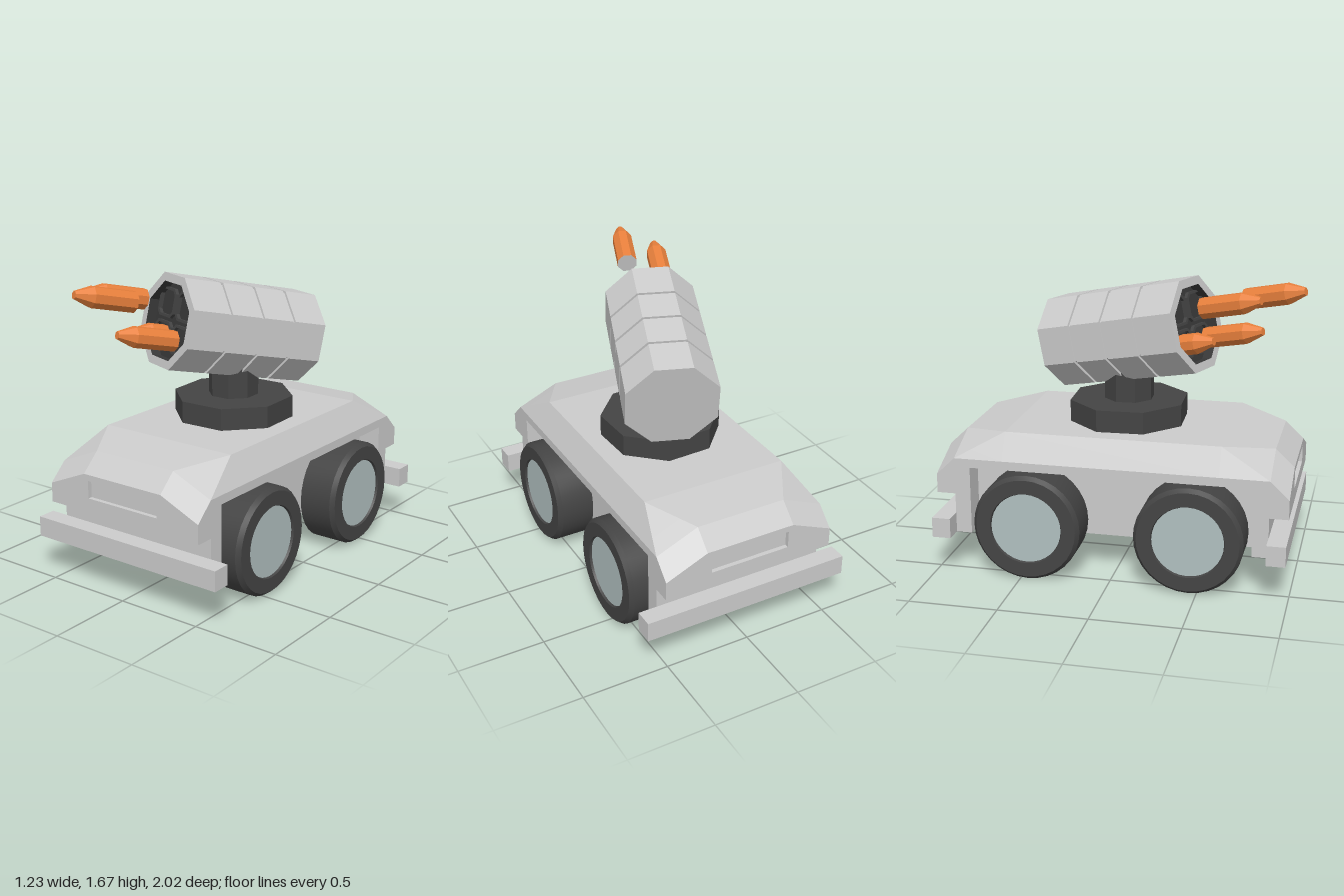
import * as THREE from 'three';
import { toCreasedNormals } from 'three/addons/utils/BufferGeometryUtils.js';

const mat = (color = 0xcccccc, opts = {}) => new THREE.MeshStandardMaterial({ color, flatShading: true, ...opts });
const GREY = mat();
const DARK = mat(0x444444);
const CAVITY = mat(0x383838);
const TUBE = mat(0x85797a);
const ORANGE = mat(0xe8803c);
const HUB = mat(0xb0bfbf);
const TYRE = mat(0x444444, { flatShading: false });
const INNER = mat(0xcccccc, { side: THREE.BackSide });

const v2 = (pts) => pts.map(([x, y]) => new THREE.Vector2(x, y));

function add(parent, name, geometry, material, x = 0, y = 0, z = 0) {
  const mesh = new THREE.Mesh(geometry, material);
  mesh.name = name;
  mesh.position.set(x, y, z);
  parent.add(mesh);
  return mesh;
}

// Eight-sided lathe whose axis lies along z, with flats on top and sides
const octLathe = (pts) =>
  new THREE.LatheGeometry(v2(pts), 8, Math.PI / 8).rotateX(Math.PI / 2);

// Square with cut corners, as a list of points
function chamferSquare(cx, cy, h, c) {
  return v2([[h, -h + c], [h, h - c], [h - c, h], [-h + c, h], [-h, h - c], [-h, -h + c], [-h + c, -h], [h - c, -h]])
    .map((p) => p.add(new THREE.Vector2(cx, cy)));
}

// Hull shell lofted from cross-sections; ends are mirrored
function hullGeometry() {
  // z, bottom y, shoulder y, bevel x/y, roof half width, roof y
  const half = [
    [0.9925, 0.45, 0.56, 0.51, 0.56, 0.265, 0.665],
    [0.887, 0.45, 0.66, 0.51, 0.66, 0.265, 0.765],
    [0.887, 0.22, 0.66, 0.51, 0.66, 0.265, 0.765],
    [0.797, 0.22, 0.66, 0.484, 0.709, 0.319, 0.78],
    [0.797, 0.61, 0.66, 0.484, 0.709, 0.319, 0.78],
    [0.61, 0.61, 0.66, 0.43, 0.81, 0.43, 0.81],
  ];
  const rows = [...half.map(([z, ...r]) => [-z, ...r]), ...half.slice().reverse()];
  const rings = rows.map(([z, b, s, mx, my, t, top]) => {
    const right = [[0.51, b], [0.51, s], [mx, my], [t, top]];
    const left = right.slice().reverse().map(([x, y]) => [-x, y]);
    return [...right, ...left].map(([x, y]) => [x, y, z]);
  });
  const pos = [];
  for (let i = 0; i < rings.length - 1; i++) {
    for (let j = 0; j < 8; j++) {
      const k = (j + 1) % 8;
      const [a, b, c, d] = [rings[i][j], rings[i][k], rings[i + 1][k], rings[i + 1][j]];
      pos.push(...a, ...b, ...c, ...a, ...c, ...d);
    }
  }
  const g = new THREE.BufferGeometry();
  g.setAttribute('position', new THREE.Float32BufferAttribute(pos, 3));
  g.computeVertexNormals();
  return g;
}

function buildHull() {
  const hull = new THREE.Group();
  hull.name = 'hull';
  hull.position.z = -0.0075;
  add(hull, 'hullShell', hullGeometry(), GREY);
  add(hull, 'chassis', new THREE.BoxGeometry(0.75, 0.39, 1.6), GREY, 0, 0.415, 0);
  // Both ends: face with a recessed panel, and a bumper
  for (const turn of [0, Math.PI]) {
    const end = new THREE.Group();
    end.name = turn ? 'backEnd' : 'frontEnd';
    end.rotation.y = turn;
    const face = new THREE.Shape(v2([[0.51, 0.45], [0.51, 0.56], [0.265, 0.665], [-0.265, 0.665], [-0.51, 0.56], [-0.51, 0.45]]));
    face.holes.push(new THREE.Path(v2([[-0.238, 0.53], [-0.238, 0.63], [0.238, 0.63], [0.238, 0.53]])));
    add(end, 'endFace', new THREE.ShapeGeometry(face), GREY, 0, 0, 0.9925);
    add(end, 'panelRecess', new THREE.BoxGeometry(0.476, 0.1, 0.025), INNER, 0, 0.58, 0.98);
    add(end, 'bumper', new THREE.BoxGeometry(1.232, 0.115, 0.106), GREY, 0, 0.2775, 0.9395);
    hull.add(end);
  }
  return hull;
}

function buildWheel(side, z) {
  const wheel = new THREE.Group();
  wheel.name = 'wheel';
  wheel.position.set(0, 0.305, z);
  wheel.rotation.y = side > 0 ? 0 : Math.PI;
  const profile = v2([[0, 0.375], [0.305, 0.375], [0.305, 0.57], [0.285, 0.595], [0.205, 0.595], [0.2, 0.582]]);
  const tyre = new THREE.LatheGeometry(profile, 32).rotateZ(-Math.PI / 2);
  add(wheel, 'tyre', toCreasedNormals(tyre, 0.4), TYRE);
  add(wheel, 'hub', new THREE.CircleGeometry(0.2, 32).rotateY(Math.PI / 2), HUB, 0.582);
  return wheel;
}

// Rocket along z with its tip at the group's origin
function buildRocket() {
  const rocket = new THREE.Group();
  rocket.name = 'rocket';
  const L = 0.355;
  add(rocket, 'rocketBody', octLathe([[0.06, -L], [0.06, -0.1], [0.022, 0], [0, 0]]), ORANGE);
  add(rocket, 'rocketBase', octLathe([[0, -L], [0.06, -L]]), GREY);
  return rocket;
}

function buildLauncher() {
  const launcher = new THREE.Group();
  launcher.name = 'launcher';
  const R = 0.276, ri = 0.226, end = 0.45, depth = 0.06;

  // Casing with three grooves around it
  const profile = [[0, -end], [R, -end]];
  for (const z of [-0.225, -0.01, 0.207]) {
    profile.push([R, z - 0.009], [R - 0.014, z - 0.009], [R - 0.014, z + 0.009], [R, z + 0.009]);
  }
  profile.push([R, end], [ri, end]);
  add(launcher, 'casing', octLathe(profile), GREY);
  add(launcher, 'mouthWall', octLathe([[ri, end], [ri, end - 0.12]]), CAVITY);

  // Plate with four tube openings
  const plate = new THREE.Shape(Array.from({ length: 8 }, (_, i) => {
    const a = (i + 0.5) * Math.PI / 4;
    return new THREE.Vector2(ri * Math.cos(a), ri * Math.sin(a));
  }));
  const o = 0.093;
  // tube x, tube y, how far the rocket tip stands out
  const tubes = [[o, o, 0.635], [-o, o, 0.465], [o, -o, 0.345], [-o, -o, 0.14]];
  for (const [x, y, out] of tubes) {
    plate.holes.push(new THREE.Path(chamferSquare(x, y, 0.07, 0.022).reverse()));
    const frame = new THREE.Shape(chamferSquare(x, y, 0.082, 0.026));
    frame.holes.push(new THREE.Path(chamferSquare(x, y, 0.068, 0.022).reverse()));
    add(launcher, 'tubeFrame', new THREE.ExtrudeGeometry(frame, { depth: 0.06, bevelEnabled: false }), DARK, 0, 0, end - depth - 0.04);
    add(launcher, 'tubeFloor', new THREE.ShapeGeometry(new THREE.Shape(chamferSquare(x, y, 0.07, 0.022))), TUBE, 0, 0, end - 0.095);
    const rocket = buildRocket();
    rocket.position.set(x, y, end + out);
    launcher.add(rocket);
  }
  add(launcher, 'tubePlate', new THREE.ExtrudeGeometry(plate, { depth: 0.04, bevelEnabled: false }), CAVITY, 0, 0, end - depth - 0.04);
  return launcher;
}

function buildTurret() {
  const turret = new THREE.Group();
  turret.name = 'turret';
  turret.rotation.y = -THREE.MathUtils.degToRad(20);
  add(turret, 'turntable', new THREE.CylinderGeometry(0.345, 0.345, 0.13, 8), DARK, 0, 0.87, 0);
  add(turret, 'post', new THREE.CylinderGeometry(0.145, 0.145, 0.24, 8), DARK, 0, 1.05, 0);
  const launcher = buildLauncher();
  launcher.position.y = 1.315;
  launcher.rotation.x = -0.22;
  turret.add(launcher);
  return turret;
}

export function createModel() {
  const model = new THREE.Group();
  model.name = 'rocketVehicle';
  model.add(buildHull());
  for (const side of [1, -1]) {
    for (const z of [0.45, -0.461]) model.add(buildWheel(side, z));
  }
  model.add(buildTurret());
  return model;
}
